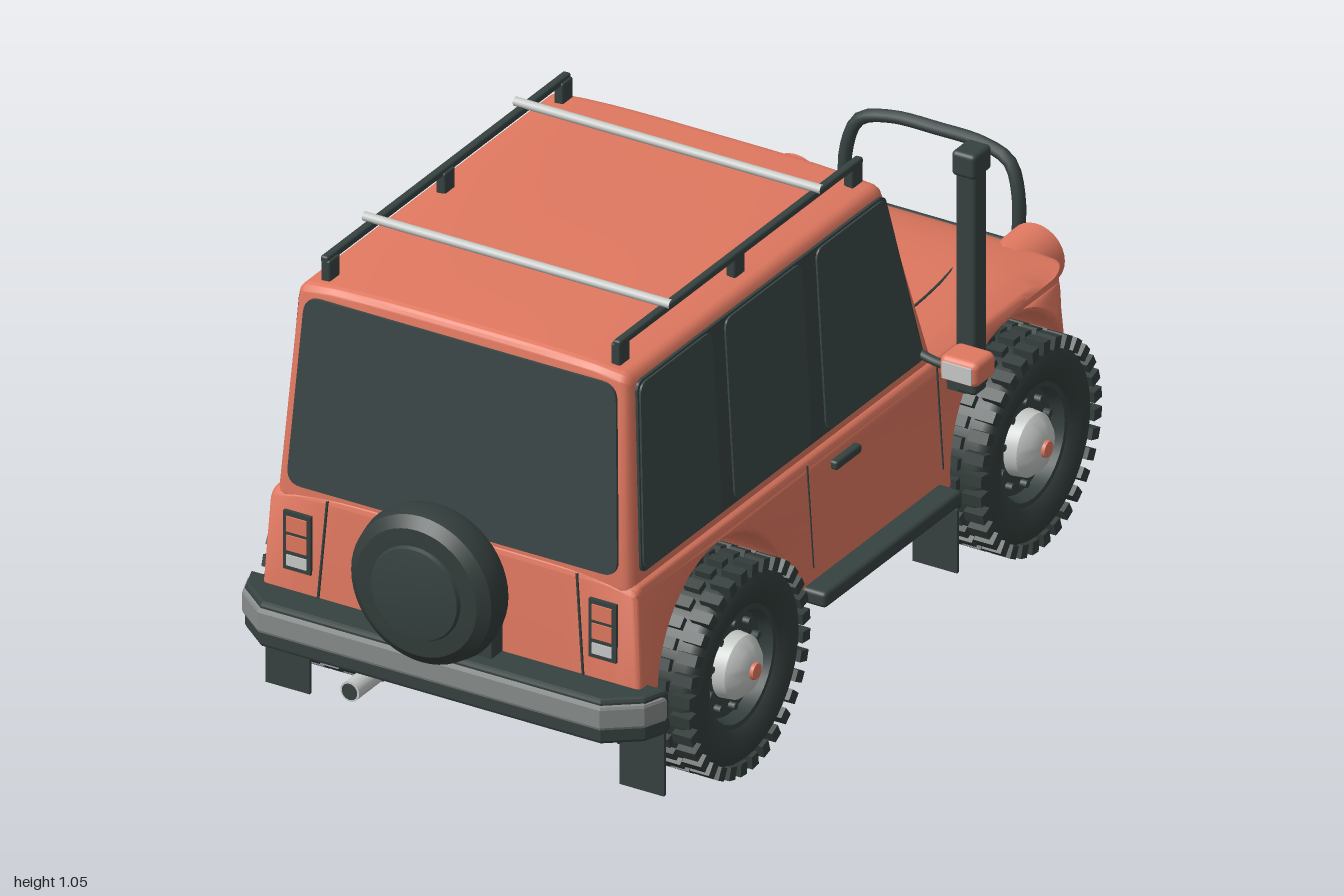
import * as THREE from 'three';
import { mergeGeometries, toCreasedNormals } from 'three/addons/utils/BufferGeometryUtils.js';
import { RoundedBoxGeometry } from 'three/addons/geometries/RoundedBoxGeometry.js';

const V = (x, y, z) => new THREE.Vector3(x, y, z);
const material = (name, hex) => {
  const m = new THREE.MeshStandardMaterial({ color: hex });
  m.name = name;
  return m;
};
const clamp = THREE.MathUtils.clamp, smooth = THREE.MathUtils.smoothstep;

// Move every vertex by a rule, then rebuild normals with sharp edges kept
function warp(geo, rule) {
  const p = geo.attributes.position;
  for (let i = 0; i < p.count; i++) {
    const v = rule(p.getX(i), p.getY(i), p.getZ(i));
    p.setXYZ(i, v[0], v[1], v[2]);
  }
  geo.computeVertexNormals();
  return toCreasedNormals(geo, 0.6);
}

// Rounded polygon shape
function roundedShape(pts, r) {
  const s = new THREE.Shape(), n = pts.length;
  const v = pts.map(p => new THREE.Vector2(p[0], p[1]));
  v.forEach((c, i) => {
    const a = v[(i + n - 1) % n], b = v[(i + 1) % n];
    const p = c.clone().add(a.clone().sub(c).setLength(r));
    const q = c.clone().add(b.clone().sub(c).setLength(r));
    if (i) s.lineTo(p.x, p.y); else s.moveTo(p.x, p.y);
    s.quadraticCurveTo(c.x, c.y, q.x, q.y);
  });
  s.closePath();
  return s;
}

// Side profile (-z, y) extruded across the width
function acrossWidth(shape, half, bevel, steps) {
  const geo = new THREE.ExtrudeGeometry(shape, {
    depth: 2 * (half - bevel), steps, curveSegments: 20, bevelEnabled: true,
    bevelSize: bevel, bevelThickness: bevel, bevelOffset: -bevel, bevelSegments: 3,
  });
  return geo.translate(0, 0, -(half - bevel)).rotateY(Math.PI / 2);
}

// Cabin planes
const sideX = y => 0.412 - 0.06 * (y - 0.54);
const rearZ = y => 0.845 - 0.079 * (y - 0.54);
const frontZ = y => -0.30 + 0.326 * (y - 0.54);
const bodyX = y => 0.446 - 0.065 * (y - 0.22);

export function createModel() {
  const root = new THREE.Group();
  root.name = 'offRoader';
  const paint = material('orangePaint', 0xe07860);
  const dark = material('darkTrim', 0x364240);
  const rubber = material('tyreRubber', 0x333d3b);
  const glass = material('darkGlass', 0x3a4646);
  const grey = material('greyStrip', 0x868b89);
  const light = material('lightMetal', 0xc6cac7);

  const add = (name, geo, mat, parent = root) => {
    const m = new THREE.Mesh(geo, mat);
    m.name = name;
    parent.add(m);
    return m;
  };
  const box = (name, mat, w, h, d, x, y, z) => add(name, new THREE.BoxGeometry(w, h, d).translate(x, y, z), mat);
  const soft = (name, mat, w, h, d, x, y, z, r = 0.01) =>
    add(name, new RoundedBoxGeometry(w, h, d, 3, r).translate(x, y, z), mat);
  const tube = (name, mat, pts, r, seg = 8) =>
    add(name, new THREE.TubeGeometry(new THREE.CatmullRomCurve3(pts), seg, r, 10), mat);
  const plate = (name, mat, pts, r, rule) => add(name, warp(
    new THREE.ExtrudeGeometry(roundedShape(pts, r), { depth: 0.008, bevelEnabled: false, curveSegments: 6 }), rule), mat);

  // Lower body with open wheel arches
  const s = new THREE.Shape();
  s.moveTo(-0.855, 0.24);
  s.lineTo(-0.80, 0.22);
  s.absarc(-0.535, 0.24, 0.25, Math.PI, 0, true);
  s.lineTo(-0.27, 0.22);
  s.lineTo(0.30, 0.22);
  s.absarc(0.567, 0.24, 0.245, Math.PI, 0, true);
  s.lineTo(0.83, 0.22);
  s.lineTo(0.89, 0.24);
  s.lineTo(0.905, 0.4);
  s.quadraticCurveTo(0.905, 0.47, 0.85, 0.495);
  s.quadraticCurveTo(0.78, 0.53, 0.6, 0.537);
  s.lineTo(0.3, 0.547);
  s.lineTo(-0.82, 0.547);
  s.quadraticCurveTo(-0.845, 0.547, -0.848, 0.52);
  add('body', warp(acrossWidth(s, 0.44, 0.012, 16), (x, y, z) => {
    const t = Math.min(1, Math.abs(x) / 0.44);
    const taper = 1 - 0.03 * clamp((-z - 0.3) / 0.45, 0, 1) - 0.13 * smooth(-z, 0.74, 0.91);
    return [x * bodyX(y) / 0.44 * taper, y - 0.025 * t ** 6 * smooth(y, 0.495, 0.53),
      z + 0.04 * t ** 4 * smooth(-z, 0.8, 0.9)];
  }), paint);
  box('floorPlate', dark, 0.66, 0.012, 1.72, 0, 0.218, -0.03);
  box('innerTub', dark, 0.58, 0.29, 1.10, 0, 0.37, 0.27);

  // Cabin with crowned roof
  const cabin = roundedShape([[-0.847, 0.50], [0.313, 0.50], [0.155, 0.988], [-0.81, 0.988]], 0.025);
  add('cabin', warp(acrossWidth(cabin, 0.412, 0.022, 12), (x, y, z) =>
    [x * sideX(y) / 0.412, y - 0.014 * (x / 0.412) ** 4 * smooth(y, 0.93, 0.97), z]), paint);

  // Windows
  const rule = {
    rear: (a, b, c) => [a, b, rearZ(b) + c - 0.002],
    front: (a, b, c) => [-a, b, frontZ(b) - c + 0.002],
    left: (a, b, c) => [sideX(b) + c - 0.003, b, -a],
    right: (a, b, c) => [-sideX(b) - c + 0.003, b, a],
  };
  const pane = [[-0.385, 0.545], [0.385, 0.545], [0.362, 0.955], [-0.362, 0.955]];
  plate('rearWindow', glass, pane, 0.035, rule.rear);
  plate('windscreen', glass, pane, 0.03, rule.front);
  const sidePanes = [
    [[-0.805, 0.55], [-0.51, 0.55], [-0.51, 0.95], [-0.78, 0.95]],
    [[-0.46, 0.55], [-0.17, 0.55], [-0.17, 0.95], [-0.46, 0.95]],
    [[-0.115, 0.55], [0.252, 0.55], [0.145, 0.95], [-0.115, 0.95]],
  ];
  const strip = [[-0.81, 0.545], [0.262, 0.545], [0.15, 0.955], [-0.785, 0.955]];
  for (const side of ['left', 'right']) {
    const flip = pts => side === 'left' ? pts : pts.map(p => [-p[0], p[1]]).reverse();
    plate(side + 'Pillars', dark, flip(strip), 0.02, rule[side]);
    sidePanes.forEach(p => plate(side + 'Window', glass, flip(p), 0.025,
      (a, b, c) => { const v = rule[side](a, b, c); v[0] += 0.004 * Math.sign(v[0]); return v; }));
  }

  // Wheels with knobbly treads
  const tyreGeo = new THREE.LatheGeometry([[0.12, -0.07], [0.135, -0.085], [0.17, -0.092], [0.2, -0.088], [0.214, -0.07],
    [0.216, 0], [0.214, 0.07], [0.2, 0.088], [0.17, 0.092], [0.135, 0.085], [0.12, 0.06]]
    .map(p => new THREE.Vector2(...p)), 48).rotateZ(-Math.PI / 2);
  const lugs = [];
  for (let i = 0; i < 32; i++) {
    for (const [x, w, off] of [[-0.075, 0.045, 0], [-0.022, 0.036, 0.5], [0.022, 0.036, 0], [0.075, 0.045, 0.5]]) {
      const lug = new THREE.BoxGeometry(w, 0.028, 0.024).translate(x, 0.215, 0);
      lugs.push(lug.rotateX((i + off) * Math.PI / 16));
    }
  }
  const lugGeo = mergeGeometries(lugs);
  const turned = (pts, seg = 32) => toCreasedNormals(new THREE.LatheGeometry(pts.map(p => new THREE.Vector2(...p)), seg), 0.6);
  const rimGeo = turned([[0, -0.03], [0.11, -0.04], [0.132, -0.07], [0.132, 0.078], [0.12, 0.078], [0.112, 0.05], [0, 0.055]]).rotateZ(-Math.PI / 2);
  const hubGeo = turned([[0.07, 0.05], [0.067, 0.08], [0.05, 0.098], [0.025, 0.107], [0, 0.11]]).rotateZ(-Math.PI / 2);
  const capGeo = new THREE.CylinderGeometry(0.017, 0.02, 0.014, 16).rotateZ(-Math.PI / 2).translate(0.108, 0, 0);
  const boltGeo = mergeGeometries(Array.from({ length: 10 }, (_, i) =>
    new THREE.CylinderGeometry(0.008, 0.008, 0.02, 8).rotateZ(Math.PI / 2).translate(0.056, 0.092, 0).rotateX(i * Math.PI / 5)));
  for (const z of [0.535, -0.567]) {
    for (const side of [1, -1]) {
      const wheel = new THREE.Group();
      wheel.name = z > 0 ? 'rearWheel' : 'frontWheel';
      wheel.position.set(side * 0.402, 0.23, z);
      if (side < 0) wheel.rotation.y = Math.PI;
      root.add(wheel);
      add('tyre', tyreGeo, rubber, wheel);
      add('treadLugs', lugGeo, rubber, wheel);
      add('rim', rimGeo, dark, wheel);
      add('rimBolts', boltGeo, dark, wheel);
      add('hub', hubGeo, light, wheel);
      add('hubCap', capGeo, paint, wheel);
    }
    tube('axle', dark, [V(-0.38, 0.23, z), V(0.38, 0.23, z)], 0.02, 2);
  }

  // Bumpers: plan outline extruded upward, with a grey strip
  function bumper(name, mat, half, back, face, y, h, dir) {
    const pts = [[-half, back], [-half + 0.02, face - 0.055], [-half + 0.09, face], [half - 0.09, face], [half - 0.02, face - 0.055], [half, back]];
    const geo = new THREE.ExtrudeGeometry(new THREE.Shape(pts.reverse().map(p => new THREE.Vector2(p[0], -p[1])).reverse()), {
      depth: h - 0.016, bevelSize: 0.008, bevelThickness: 0.008, bevelOffset: -0.008, bevelSegments: 2 });
    geo.translate(0, 0, 0.008).rotateX(-Math.PI / 2);
    if (dir < 0) geo.rotateY(Math.PI);
    add(name, geo.translate(0, y, 0), mat);
  }
  bumper('rearBumper', dark, 0.485, 0.82, 0.93, 0.21, 0.1, 1);
  bumper('rearBumperStrip', grey, 0.488, 0.83, 0.937, 0.243, 0.055, 1);
  bumper('frontBumper', dark, 0.40, 0.83, 0.92, 0.21, 0.085, -1);
  bumper('frontBumperStrip', grey, 0.403, 0.84, 0.926, 0.23, 0.045, -1);

  // Bull bar
  const arch = [[-0.2, 0.24, -0.962], [-0.2, 0.4, -0.963], [-0.2, 0.53, -0.967], [-0.175, 0.595, -0.975], [-0.11, 0.615, -0.983]];
  tube('bullBar', dark, [...arch.map(p => V(...p)), V(0, 0.617, -0.986), ...arch.reverse().map(p => V(-p[0], p[1], p[2]))], 0.014, 48);
  for (const y of [0.34, 0.42]) tube('bullBarRung', dark, [V(-0.2, y, -0.963), V(0.2, y, -0.963)], 0.01, 2);
  for (const x of [-0.2, 0.2]) tube('bullBarMount', dark, [V(x, 0.28, -0.88), V(x, 0.28, -0.963)], 0.013, 2);

  // Nose details
  box('numberPlate', light, 0.15, 0.035, 0.008, 0, 0.315, -0.905);
  box('grilleSlot', dark, 0.26, 0.012, 0.008, 0, 0.40, -0.906);
  box('noseBadge', light, 0.035, 0.016, 0.008, 0, 0.43, -0.903);

  // Spare wheel on the tailgate
  add('spareTyre', turned([[0, 0.885], [0.14, 0.885], [0.163, 0.9], [0.171, 0.93], [0.163, 0.965], [0.14, 0.983], [0.108, 0.985], [0, 0.985]], 48)
    .rotateX(Math.PI / 2).translate(0, 0.465, 0), rubber);
  add('spareCover', turned([[0.106, 0.98], [0.1, 0.993], [0.06, 0.999], [0, 1.0]], 40).rotateX(Math.PI / 2).translate(0, 0.465, 0), dark);
  box('spareMount', dark, 0.24, 0.16, 0.06, 0, 0.38, 0.865);

  // Exhaust
  add('exhaust', new THREE.CylinderGeometry(0.022, 0.022, 0.09, 20).rotateX(Math.PI / 2).translate(-0.2, 0.155, 0.865), light);
  add('exhaustMouth', new THREE.CircleGeometry(0.018, 20).translate(-0.2, 0.155, 0.911), dark);

  // Snorkel
  soft('snorkelPipe', dark, 0.048, 0.52, 0.048, 0.472, 0.71, -0.347);
  soft('snorkelHead', dark, 0.056, 0.055, 0.068, 0.472, 0.967, -0.347);
  box('snorkelIntake', dark, 0.06, 0.05, 0.04, 0.44, 0.475, -0.347);

  // Parts mirrored on both sides
  for (const k of [1, -1]) {
    // Roof rack
    soft('rackRail', dark, 0.018, 0.016, 0.92, k * 0.34, 1.025, 0.32, 0.005);
    for (const z of [0.76, 0.325, -0.12]) soft('rackFoot', dark, 0.022, 0.05, 0.04, k * 0.337, 1.0, z, 0.005);
    box('rackBar', light, 0.001, 0.001, 0.001, k * 0.3, 1.035, 0.6);
    // Side steps and mud flaps
    soft('sideStep', dark, 0.075, 0.035, 0.52, k * 0.457, 0.246, -0.02);
    for (const z of [0.797, -0.31]) box('mudFlap', dark, 0.103, 0.14, 0.008, k * 0.412, 0.125, z);
    // Mirrors
    soft('mirrorCase', paint, 0.09, 0.056, 0.078, k * 0.532, 0.573, -0.235, 0.015);
    box('mirrorGlass', light, 0.068, 0.036, 0.006, k * 0.532, 0.573, -0.195);
    tube('mirrorArm', dark, [V(k * 0.40, 0.563, -0.25), V(k * 0.45, 0.555, -0.245), V(k * 0.5, 0.555, -0.24)], 0.01);
    // Headlights
    add('headlightPod', new THREE.CylinderGeometry(0.066, 0.062, 0.11, 28).rotateX(-Math.PI / 2).translate(k * 0.28, 0.452, -0.85), paint);
    add('headlight', new THREE.SphereGeometry(0.054, 24, 12).scale(1, 1, 0.3).translate(k * 0.28, 0.452, -0.903), light);
    // Tail lights
    box('tailLightFrame', dark, 0.064, 0.13, 0.008, k * 0.355, 0.422, 0.854);
    for (const y of [0.46, 0.418]) box('tailLightLens', paint, 0.046, 0.034, 0.008, k * 0.355, y, 0.857);
    box('reverseLight', light, 0.046, 0.024, 0.008, k * 0.355, 0.379, 0.857);
    // Panel seams and door handles
    tube('tailgateSeam', dark, [V(k * 0.29, 0.53, 0.848), V(k * 0.308, 0.31, 0.854)], 0.003, 2);
    for (const z of [0.2, -0.29]) tube('doorSeam', dark, [V(k * bodyX(0.515), 0.515, z), V(k * bodyX(0.29), 0.29, z)], 0.002, 2);
    soft('doorHandle', dark, 0.02, 0.02, 0.095, k * 0.433, 0.477, 0.065, 0.006);
    tube('hoodSeam', dark, [V(k * 0.29, 0.543, -0.31), V(k * 0.26, 0.534, -0.6), V(k * 0.2, 0.515, -0.79)], 0.003);
  }
  for (const z of [0.03, 0.6]) tube('rackCrossBar', light, [V(-0.357, 1.038, z), V(0.357, 1.038, z)], 0.01, 2);
  return root;
}
